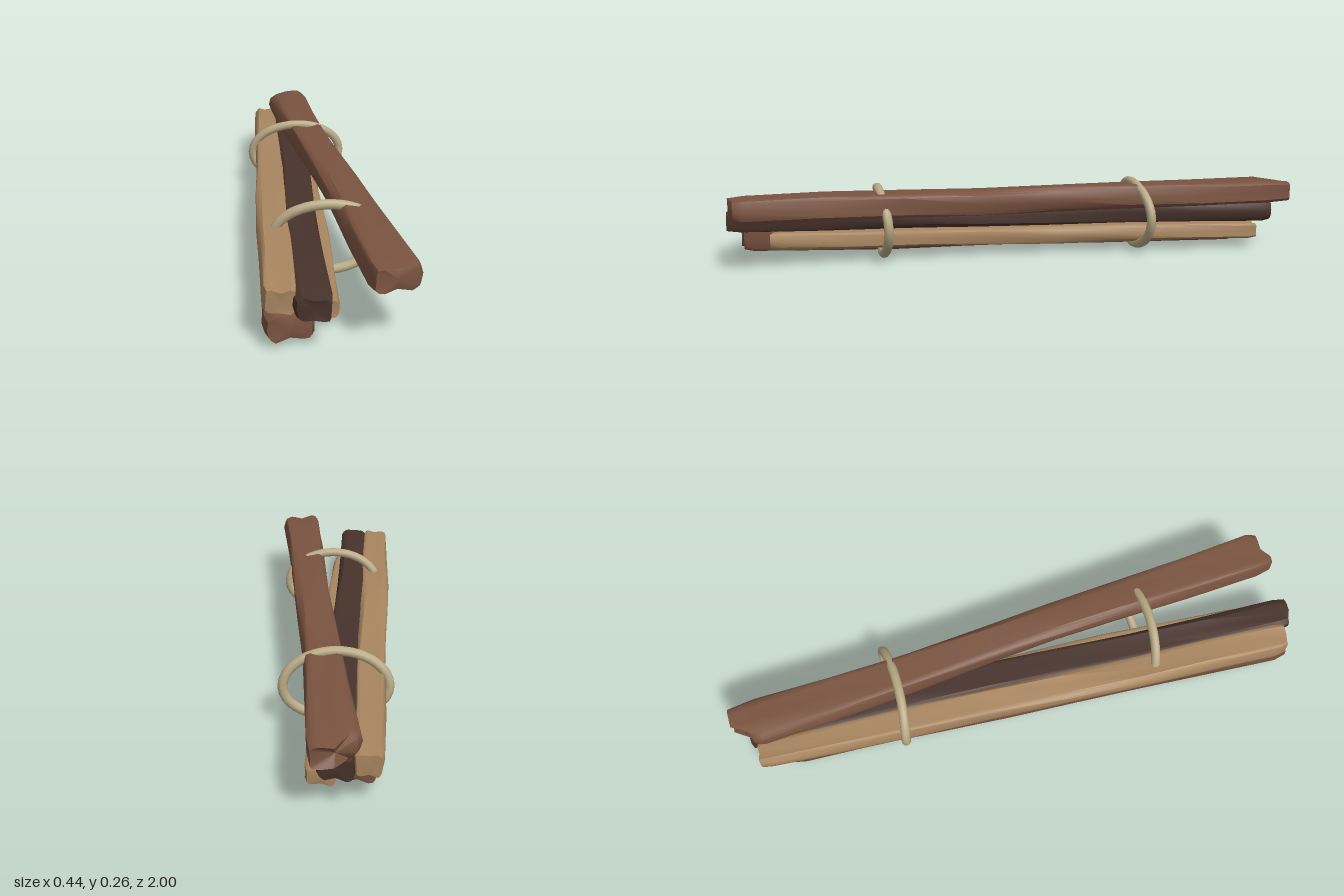
import * as THREE from 'three';
import { toCreasedNormals } from 'three/addons/utils/BufferGeometryUtils.js';

const SIDES = 16;
const STEPS = 7;
const { lerp } = THREE.MathUtils;

const mat = (name, color) => {
  const m = new THREE.MeshStandardMaterial({ color });
  m.name = name;
  return m;
};

// Rounded box outline with a groove along the middle of the top and bottom
function outline(i) {
  const a = i / SIDES * Math.PI * 2;
  const soft = (k) => Math.sign(k) * Math.abs(k) ** 0.5;
  const u = soft(Math.cos(a));
  return [u, soft(Math.sin(a)) * (1 - 0.2 * Math.exp(-40 * u * u))];
}

// Tapered, slightly gnarled log. x and width run from front to back;
// front and back hold the end z of the log's two lobes.
function logGeometry({ x, width, waist, y, front, back }, seed) {
  const pos = [], index = [];
  const zFront = Math.min(...front) - 0.03, zBack = Math.max(...back) + 0.03;
  const addRing = (t, scale, ends, row) => {
    const halfW = lerp(width[0], width[1], t) / 2 * (1 - waist * Math.sin(Math.PI * t));
    const halfH = (y[1] - y[0]) / 2;
    const cx = lerp(x[0], x[1], t) + 0.003 * Math.sin(seed + t * 11);
    const cy = (y[0] + y[1]) / 2 + 0.002 * Math.sin(seed * 2 + t * 13);
    for (let i = 0; i < SIDES; i++) {
      const [u, v] = outline(i);
      const s = scale * (0.99 + 0.045 * Math.sin(seed * 3 + row * 1.3 + i * 1.9));
      pos.push(cx + u * s * halfW, cy + v * s * halfH,
        ends ? ends[u < -0.01 ? 0 : 1] : lerp(zFront, zBack, t));
    }
  };
  addRing(0, 0.86, front, 0);
  for (let k = 0; k <= STEPS; k++) addRing(k / STEPS, 1, null, k);
  addRing(1, 0.86, back, STEPS);
  const rings = STEPS + 3;
  for (let r = 0; r < rings - 1; r++) {
    for (let i = 0; i < SIDES; i++) {
      const a = r * SIDES + i, b = r * SIDES + (i + 1) % SIDES;
      index.push(a, a + SIDES, b, b, a + SIDES, b + SIDES);
    }
  }
  // End caps
  [0, 1].forEach((end) => {
    const start = end * (rings - 1) * SIDES, ends = end ? back : front;
    const c = pos.length / 3;
    pos.push(x[end], (y[0] + y[1]) / 2, (ends[0] + ends[1]) / 2);
    for (let i = 0; i < SIDES; i++) {
      const a = start + i, b = start + (i + 1) % SIDES;
      index.push(c, end ? b : a, end ? a : b);
    }
  });
  const g = new THREE.BufferGeometry();
  g.setAttribute('position', new THREE.Float32BufferAttribute(pos, 3));
  g.setIndex(index);
  return toCreasedNormals(g, 0.75);
}

// Slightly wavy rope loop round the bundle
function ropeGeometry(z) {
  const points = [];
  for (let i = 0; i < 16; i++) {
    const a = i / 16 * Math.PI * 2;
    points.push(new THREE.Vector3(0.017 + 0.17 * Math.cos(a), 0.128 + 0.112 * Math.sin(a),
      z + 0.007 * Math.sin(a) - 0.008 * Math.cos(2 * a)));
  }
  return new THREE.TubeGeometry(new THREE.CatmullRomCurve3(points, true), 40, 0.016, 10, true);
}

export function createModel() {
  const group = new THREE.Group();
  const brown = mat('brown wood', 0x7a5340);
  const dark = mat('dark wood', 0x48332c);
  const tan = mat('tan wood', 0xa98660);
  const rope = mat('rope', 0xb9aa86);
  const add = (name, geometry, material) => {
    const mesh = new THREE.Mesh(geometry, material);
    mesh.name = name;
    group.add(mesh);
  };

  add('upperTanLog', logGeometry({ x: [-0.172, -0.066], width: [0.1, 0.086], waist: -0.12,
    y: [0.09, 0.176], front: [0.94, 0.95], back: [-0.94, -0.935] }, 1), tan);
  add('darkLog', logGeometry({ x: [-0.086, 0.024], width: [0.108, 0.114], waist: 0,
    y: [0.088, 0.17], front: [0.98, 0.995], back: [-0.955, -0.94] }, 2), dark);
  add('upperBrownLog', logGeometry({ x: [0.145, 0.027], width: [0.152, 0.156], waist: 0.2,
    y: [0.152, 0.24], front: [0.98, 0.958], back: [-0.935, -1] }, 3), brown);
  add('lowerBrownLog', logGeometry({ x: [-0.142, -0.04], width: [0.146, 0.122], waist: 0.05,
    y: [0.009, 0.1], front: [0.955, 0.94], back: [-0.845, -0.83] }, 4), brown);
  add('lowerTanLog', logGeometry({ x: [-0.029, 0.066], width: [0.084, 0.096], waist: 0,
    y: [0.03, 0.092], front: [0.84, 0.85], back: [-0.88, -0.87] }, 5), tan);

  add('frontRope', ropeGeometry(0.47), rope);
  add('backRope', ropeGeometry(-0.436), rope);
  return group;
}
